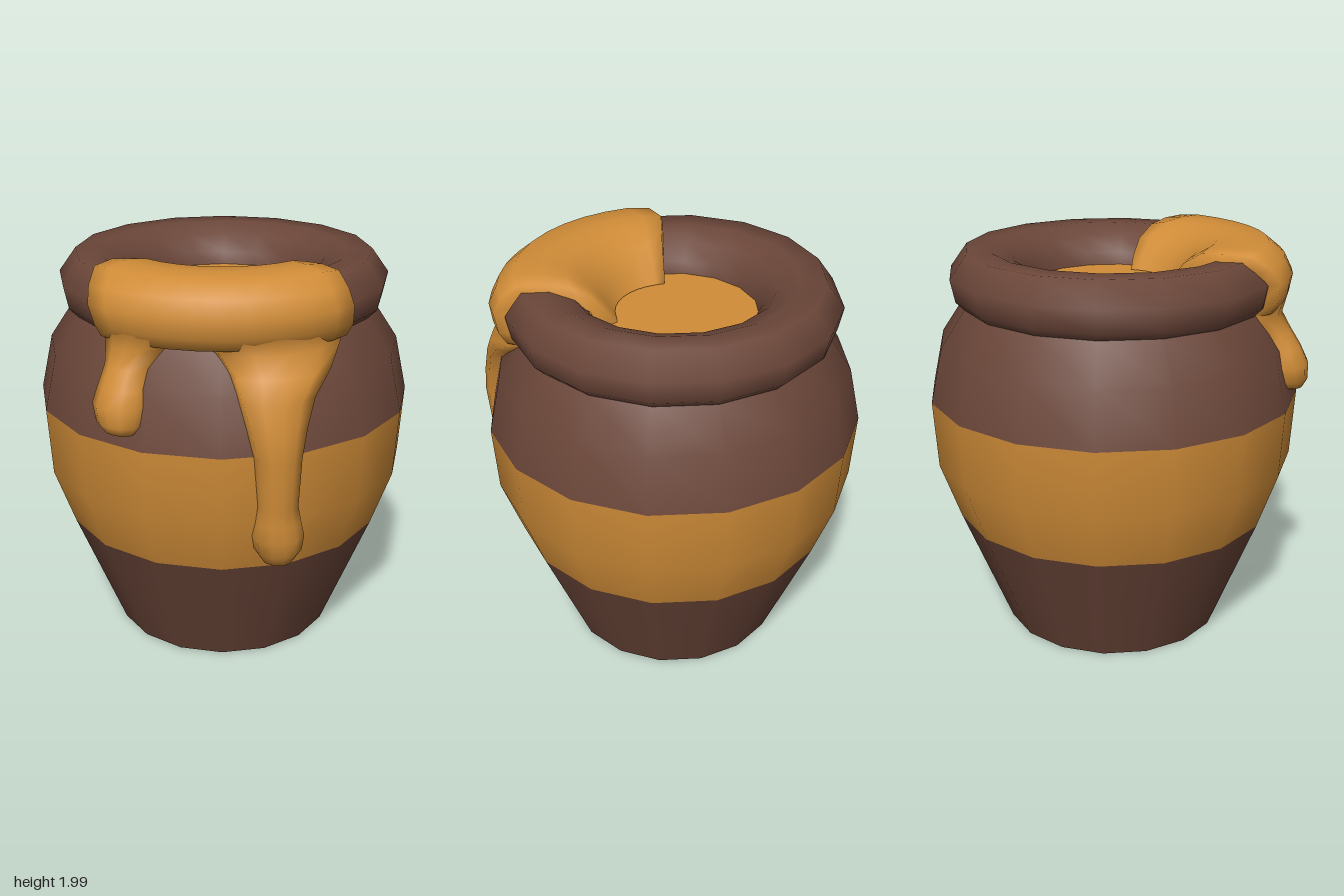
import * as THREE from 'three';

const SIDES = 16;
// outer profile of the pot, [radius, height]
const lower = [[0.555, 0], [0.80, 0.615]];
const middle = [[0.80, 0.615], [0.90, 0.90], [0.92, 1.23]];
const upper = [[0.92, 1.23], [0.86, 1.50], [0.74, 1.68]];
const rim = [[0.74, 1.68], [0.78, 1.72], [0.803, 1.83], [0.72, 1.945], [0.60, 1.945], [0.49, 1.90], [0.42, 1.82], [0.405, 1.74]];
const outer = [...lower, ...middle.slice(1), ...upper.slice(1), ...rim.slice(1, 4)];

// radius of the pot's outside at height y
function potRadius(y) {
  for (let i = 1; i < outer.length; i++) {
    const [r0, y0] = outer[i - 1], [r1, y1] = outer[i];
    if (y <= y1) return r0 + (r1 - r0) * (y - y0) / (y1 - y0);
  }
  return outer[outer.length - 1][0];
}

// draped sheet: rows are [radius, height, base radius, base height, left angle, right angle],
// cols are [position -1..1, how far it rises from base to full thickness]
function drape(rows, cols) {
  const pos = [], index = [], n = cols.length;
  rows.forEach(([r, y, br, by, a0, a1], i) => {
    cols.forEach(([t, k], j) => {
      const a = a0 + (a1 - a0) * (t + 1) / 2;
      const rad = br + (r - br) * k;
      pos.push(rad * Math.sin(a), by + (y - by) * k, rad * Math.cos(a));
      if (i && j) {
        const d = i * n + j, c = d - 1, b = d - n, e = b - 1;
        index.push(e, c, b, b, c, d);
      }
    });
  });
  const g = new THREE.BufferGeometry();
  g.setAttribute('position', new THREE.Float32BufferAttribute(pos, 3));
  g.setIndex(index);
  g.computeVertexNormals();
  return g;
}

// a running drip: rows are [height, left x, right x, radius]
function drip(rows) {
  const cols = [[-1, 0], [-0.88, 0.6], [-0.45, 0.93], [0, 1], [0.45, 0.93], [0.88, 0.6], [1, 0]];
  return drape(rows.map(([y, x0, x1, r]) => {
    const p = potRadius(y);
    return [r, y, p - 0.025, y, Math.asin(x0 / p), Math.asin(x1 / p)];
  }), cols);
}

export function createModel() {
  const clay = new THREE.MeshStandardMaterial({ color: 0x6b4639 });
  clay.name = 'brownClay';
  const honey = new THREE.MeshStandardMaterial({ color: 0xd18d38, side: THREE.DoubleSide });
  honey.name = 'honey';

  const pot = new THREE.Group();
  pot.position.z = -0.02;
  const add = (name, geometry, material) => {
    const m = new THREE.Mesh(geometry, material);
    m.name = name;
    pot.add(m);
    return m;
  };
  const lathe = (pts) => new THREE.LatheGeometry(pts.map(p => new THREE.Vector2(...p)), SIDES);

  // pot body
  add('lowerBody', lathe(lower), clay);
  add('bodyBand', lathe(middle), honey);
  add('upperBody', lathe(upper), clay);
  add('rim', lathe(rim), clay);
  add('base', new THREE.CircleGeometry(0.555, SIDES).rotateX(Math.PI / 2), clay);

  // honey filling the mouth
  add('honeyFill', new THREE.CircleGeometry(0.42, SIDES).rotateX(-Math.PI / 2), honey).position.y = 1.76;

  // honey spilling over the rim
  const rad = Math.PI / 180;
  const spill = [
    [0.28, 1.765, 0.33, 1.75, -52, 55],
    [0.33, 1.84, 0.39, 1.76, -53, 56],
    [0.40, 1.92, 0.42, 1.84, -53, 54],
    [0.50, 1.98, 0.50, 1.89, -54, 50],
    [0.62, 1.99, 0.62, 1.93, -55, 47],
    [0.75, 1.985, 0.71, 1.93, -51, 45],
    [0.83, 1.92, 0.75, 1.88, -47, 44],
    [0.87, 1.84, 0.78, 1.83, -44.5, 44],
    [0.855, 1.75, 0.76, 1.74, -43, 45],
    [0.82, 1.69, 0.72, 1.68, -43, 45],
    [0.72, 1.66, 0.70, 1.66, -41, 44],
  ].map(([r, y, br, by, a0, a1]) => [r, y, br, by, a0 * rad, a1 * rad]);
  const spillCols = [[-1, 0], [-0.98, 0.85]];
  for (let i = -4; i <= 4; i++) spillCols.push([i * 0.2, 1]);
  spillCols.push([0.98, 0.8], [1, 0]);
  add('honeySpill', drape(spill, spillCols), honey);

  // long drip
  add('longDrip', drip([
    [1.74, -0.12, 0.55, 0.85], [1.66, -0.04, 0.53, 0.83], [1.58, 0.03, 0.475, 0.91],
    [1.48, 0.07, 0.41, 0.95], [1.35, 0.11, 0.375, 0.98], [1.22, 0.145, 0.355, 0.995],
    [0.98, 0.165, 0.345, 0.97], [0.90, 0.155, 0.36, 0.97], [0.82, 0.14, 0.37, 0.97],
    [0.74, 0.15, 0.355, 0.96], [0.68, 0.18, 0.32, 0.92], [0.65, 0.23, 0.28, 0.80],
  ]), honey);

  // short drip
  add('shortDrip', drip([
    [1.74, -0.53, -0.18, 0.85], [1.66, -0.51, -0.25, 0.83], [1.58, -0.51, -0.32, 0.88],
    [1.50, -0.54, -0.34, 0.93], [1.42, -0.56, -0.34, 0.97], [1.34, -0.55, -0.355, 0.97],
    [1.30, -0.52, -0.385, 0.95], [1.28, -0.48, -0.44, 0.89],
  ]), honey);

  const model = new THREE.Group();
  model.name = 'honeyPot';
  model.add(pot);
  return model;
}
